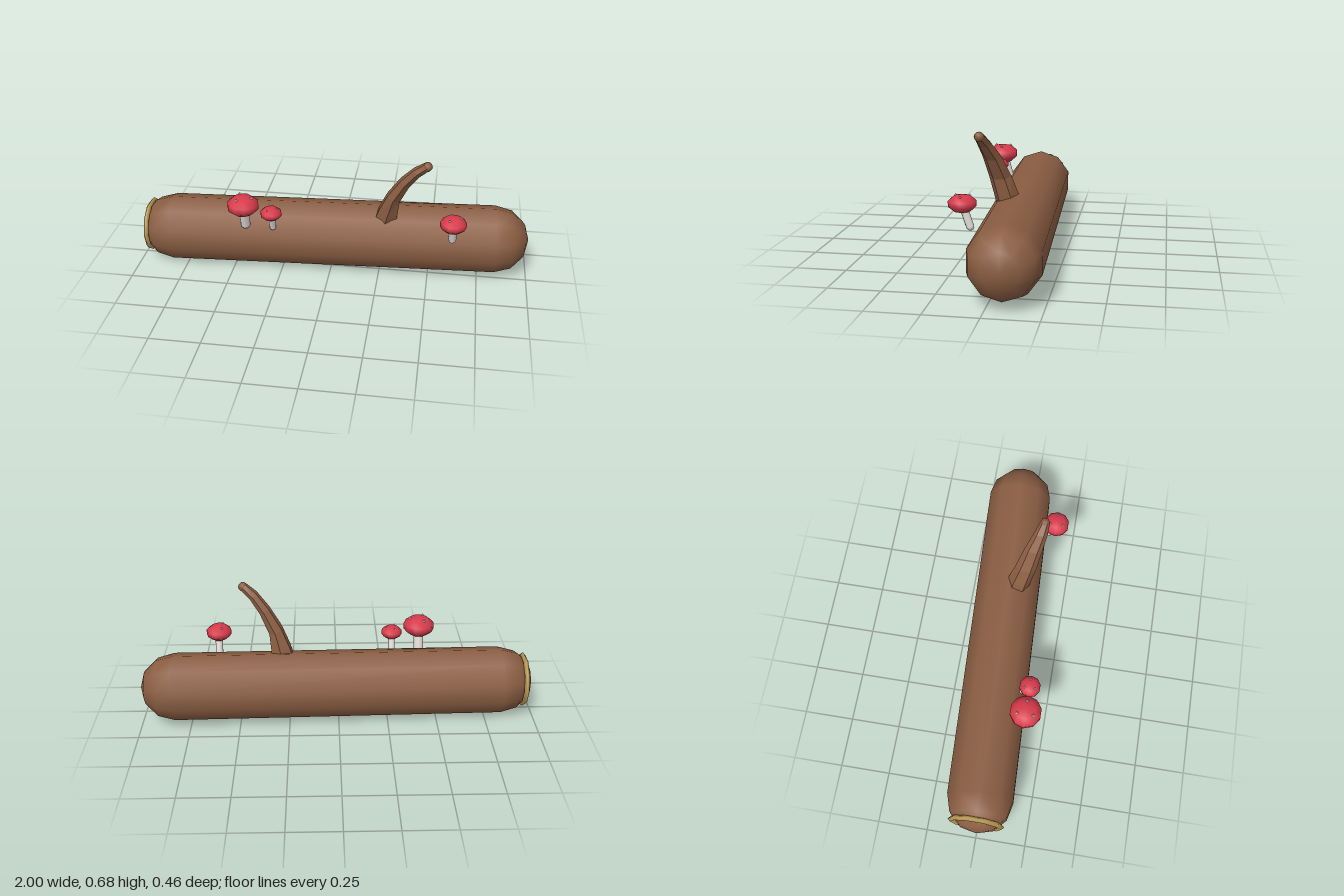
import * as THREE from 'three';

const mat = (name, color) => {
  const m = new THREE.MeshStandardMaterial({ color });
  m.name = name;
  return m;
};

export function createModel() {
  const root = new THREE.Group();
  root.name = 'mushroomLog';
  const bark = mat('bark brown', 0x8b5e43);
  const wood = mat('cut wood tan', 0xc2a05a);
  const red = mat('cap red', 0xd93a4b);
  const white = mat('stem white', 0xe2dfda);

  const add = (name, geometry, material, parent = root) => {
    const mesh = new THREE.Mesh(geometry, material);
    mesh.name = name;
    parent.add(mesh);
    return mesh;
  };

  // Trunk: a ten-sided capsule lying along x, slightly skewed
  const trunkGeo = new THREE.CapsuleGeometry(0.171, 1.656, 3, 10);
  trunkGeo.rotateZ(-Math.PI / 2);
  const trunk = add('trunk', trunkGeo, bark);
  trunk.rotation.set(0, 0.042, 0.011);
  trunk.position.set(0, 0.183, -0.036);

  // Ring around the cut end
  const ring = add('endRing', new THREE.TorusGeometry(0.127, 0.013, 4, 10), wood);
  ring.rotation.y = Math.PI / 2;
  ring.position.set(-0.95, 0.174, -0.003);

  // Branch: six-sided tapering sections [x, y, z, half thickness, half width]
  const sections = [
    [0.27, 0.27, -0.005, 0.06, 0.062],
    [0.29, 0.36, 0.014, 0.05, 0.06],
    [0.315, 0.45, 0.038, 0.035, 0.054],
    [0.37, 0.55, 0.065, 0.027, 0.045],
    [0.425, 0.62, 0.09, 0.023, 0.035],
    [0.475, 0.662, 0.105, 0.02, 0.024],
  ];
  const sides = 6;
  const pos = [];
  const index = [];
  sections.forEach(([x, y, z, a, b], i) => {
    const p = sections[Math.max(i - 1, 0)];
    const n = sections[Math.min(i + 1, sections.length - 1)];
    const len = Math.hypot(n[0] - p[0], n[1] - p[1]);
    const nx = (n[1] - p[1]) / len;
    const ny = -(n[0] - p[0]) / len;
    for (let k = 0; k < sides; k++) {
      const t = (k / sides) * Math.PI * 2;
      const u = Math.sin(t) * a * 1.1;
      pos.push(x + nx * u, y + ny * u, z + Math.cos(t) * b);
      if (i === 0) continue;
      const k2 = (k + 1) % sides;
      const lo = (i - 1) * sides;
      const hi = i * sides;
      index.push(lo + k, lo + k2, hi + k2, lo + k, hi + k2, hi + k);
    }
  });
  const indexed = new THREE.BufferGeometry();
  indexed.setAttribute('position', new THREE.Float32BufferAttribute(pos, 3));
  indexed.setIndex(index);
  const branchGeo = indexed.toNonIndexed();
  branchGeo.computeVertexNormals();
  add('branch', branchGeo, bark);
  add('branchTip', new THREE.SphereGeometry(0.024, 8, 6), bark).position.set(0.475, 0.66, 0.105);

  // Mushrooms: leaning stem, flattened cap, three spots
  const mushroom = (x, capY, r, stemR) => {
    const g = new THREE.Group();
    g.name = 'mushroom';
    root.add(g);

    const base = new THREE.Vector3(x, 0.265 + stemR * 0.8, 0.12);
    const top = new THREE.Vector3(x, capY, 0.155);
    const dir = top.clone().sub(base);
    const stem = add('stem', new THREE.CapsuleGeometry(stemR, dir.length(), 3, 8), white, g);
    stem.position.copy(base).add(top).multiplyScalar(0.5);
    stem.quaternion.setFromUnitVectors(new THREE.Vector3(0, 1, 0), dir.normalize());

    const cap = add('cap', new THREE.SphereGeometry(r, 10, 5), red, g);
    cap.scale.y = 0.62;
    cap.position.copy(top);

    for (let k = 0; k < 3; k++) {
      const t = (k / 3) * Math.PI * 2;
      const spot = add('spot', new THREE.OctahedronGeometry(r * 0.11), white, g);
      spot.position.set(x + Math.cos(t) * r * 0.55, capY + r * 0.51, 0.155 + Math.sin(t) * r * 0.55);
    }
  };
  mushroom(-0.42, 0.41, 0.082, 0.025);
  mushroom(-0.28, 0.375, 0.055, 0.017);
  mushroom(0.615, 0.385, 0.067, 0.019);

  return root;
}
